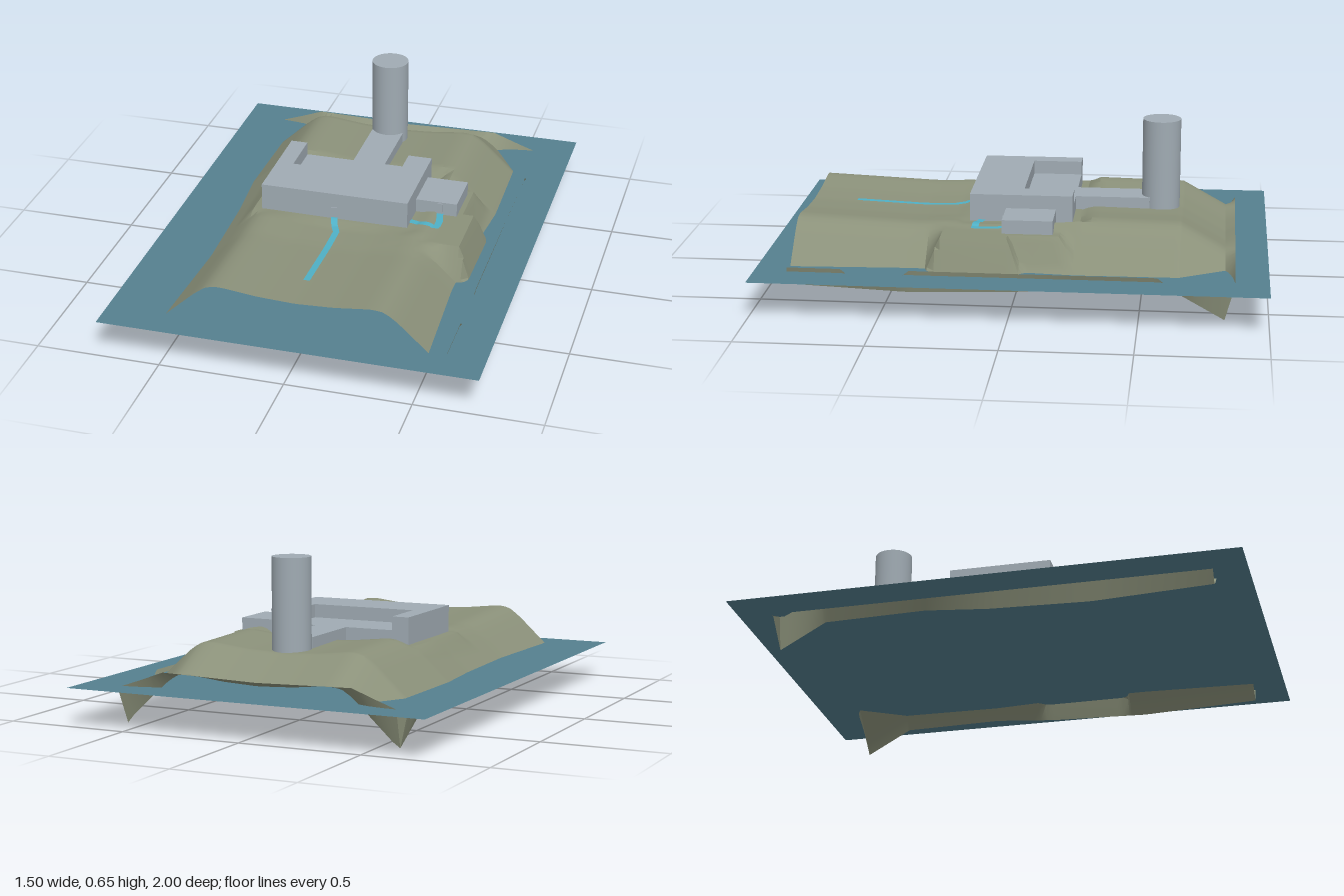
import * as THREE from 'three';
import { toCreasedNormals } from 'three/addons/utils/BufferGeometryUtils.js';

const WATER = 0.15, PAD = 0.283;

// piecewise linear interpolation through [position, value] pairs
function lerpPts(pts, t) {
  if (t <= pts[0][0]) return pts[0][1];
  for (let i = 1; i < pts.length; i++) {
    const [a, va] = pts[i - 1], [b, vb] = pts[i];
    if (t <= b) return va + (vb - va) * (t - a) / (b - a);
  }
  return pts[pts.length - 1][1];
}
const across = [[0, 0.28], [0.15, 0.287], [0.3, 0.304], [0.35, 0.298], [0.4, 0.262], [0.58, 0.095]];
const along = [[-0.83, -0.095], [-0.65, 0.005], [-0.25, 0.012], [0, -0.008], [0.4, -0.02], [0.87, 0]];
const backRim = [[0, 0.205], [0.4, 0.215], [0.5, 0.178], [0.61, 0.14]];

// 1 inside a rectangle, falling to 0 over a margin
function inRect(x, z, x0, x1, z0, z1, m) {
  const d = Math.max(x0 - x, x - x1, z0 - z, z - z1, 0);
  return Math.max(0, 1 - d / m);
}

function landHeight(x, z) {
  if (z < -0.85) return lerpPts(backRim, Math.abs(x));
  if (Math.abs(x) > 0.59) {
    if (z < -0.8) return 0.13;
    const raised = x > 0 && ((z > -0.6 && z < 0.4) || z > 0.66);
    return raised ? 0.168 : 0.145;
  }
  const shift = Math.abs(x) < 0.57 ? 0.008 : 0;
  let y = lerpPts(across, Math.abs(x - shift)) + lerpPts(along, z);
  // levelled ground under the buildings and the raised shelf beside them
  const pad = inRect(x, z, -0.37, 0.3, -0.25, 0.2, 0.04);
  y += (PAD - 0.003 - y) * pad;
  const shelf = Math.max(inRect(x, z, 0.27, 0.505, 0.02, 0.28, 0.06),
    inRect(x, z, 0.27, 0.46, -0.18, 0.02, 0.05));
  if (y < PAD) y += (PAD - 0.003 - y) * shelf;
  return y;
}

function gridGeometry(xs, zs, height) {
  const pos = [], idx = [], n = xs.length;
  for (const z of zs) for (const x of xs) pos.push(x, height(x, z), z);
  for (let j = 0; j < zs.length - 1; j++) {
    for (let i = 0; i < n - 1; i++) {
      const a = j * n + i, b = a + 1, c = a + n, d = c + 1;
      idx.push(a, c, b, b, c, d);
    }
  }
  const g = new THREE.BufferGeometry();
  g.setAttribute('position', new THREE.Float32BufferAttribute(pos, 3));
  g.setIndex(idx);
  return toCreasedNormals(g, 0.5);
}

// evenly spaced values with extra breakpoints, sorted
function ticks(a, b, step, extra) {
  const out = [...extra];
  const n = Math.round((b - a) / step);
  for (let i = 0; i <= n; i++) {
    const v = a + (b - a) * i / n;
    if (!extra.some(e => Math.abs(e - v) < step * 0.3)) out.push(v);
  }
  return out.sort((p, q) => p - q);
}

export function createModel() {
  const model = new THREE.Group();
  const mat = (name, color, side = THREE.FrontSide) => {
    const m = new THREE.MeshStandardMaterial({ color, side });
    m.name = name;
    return m;
  };
  const waterMat = mat('water blue', 0x55808f, THREE.DoubleSide);
  const landMat = mat('land green', 0x8b917a, THREE.DoubleSide);
  const wallMat = mat('concrete grey', 0xa0abb3);
  const pathMat = mat('path cyan', 0x4fb0c6, THREE.DoubleSide);

  const add = (name, geo, material, x = 0, y = 0, z = 0, parent = model) => {
    const mesh = new THREE.Mesh(geo, material);
    mesh.name = name;
    mesh.position.set(x, y, z);
    parent.add(mesh);
    return mesh;
  };
  // box given by its limits
  const block = (name, x0, x1, y0, y1, z0, z1, parent) =>
    add(name, new THREE.BoxGeometry(x1 - x0, y1 - y0, z1 - z0), wallMat,
      (x0 + x1) / 2, (y0 + y1) / 2, (z0 + z1) / 2, parent);

  // water sheet
  add('water', new THREE.PlaneGeometry(1.5, 2).rotateX(-Math.PI / 2), waterMat, 0, WATER, 0);

  // land: plateau with sloping sides and an upturned rim
  const xs = ticks(-0.55, 0.55, 0.025,
    [-0.608, -0.58, -0.35, -0.3, 0.35, 0.3, 0.505, 0.46, 0.58, 0.602]);
  const zs = ticks(-0.81, 0.87, 0.03, [-0.868, -0.83, -0.65, -0.25, 0.02, 0.28, 0.34]);
  add('land', gridGeometry(xs, zs, landHeight), landMat);

  // main building: U-shaped block around a lower court
  const hall = new THREE.Group();
  hall.name = 'mainBuilding';
  model.add(hall);
  const u = new THREE.Shape([[-0.34, -0.19], [0.27, -0.19], [0.27, 0.22], [0.17, 0.22],
    [0.17, 0.02], [-0.27, 0.02], [-0.27, 0.22], [-0.34, 0.22]].map(p => new THREE.Vector2(...p)));
  const uGeo = new THREE.ExtrudeGeometry(u, { depth: 0.13, bevelEnabled: false });
  add('hall', uGeo.rotateX(-Math.PI / 2), wallMat, 0, 0.26, 0, hall);
  block('court', -0.27, 0.17, 0.26, 0.335, -0.22, -0.02, hall);
  block('frontDoor', -0.046, -0.022, 0.27, 0.33, 0.185, 0.194, hall);

  // side annex, rear passage and tower
  block('annex', 0.27, 0.44, 0.25, 0.335, -0.155, 0.045);
  block('annexDoor', 0.358, 0.382, 0.27, 0.33, 0.04, 0.049);
  block('passage', -0.068, 0.068, 0.25, 0.335, -0.52, -0.22);
  add('tower', new THREE.CylinderGeometry(0.077, 0.077, 0.4, 32), wallMat, 0, 0.452, -0.563);

  // footpaths draped on the land
  const footpath = (name, pts, width) => {
    const pos = [], idx = [];
    const dense = [];
    for (let i = 0; i < pts.length - 1; i++) {
      for (let k = 0; k < 8; k++) {
        const t = k / 8;
        dense.push(new THREE.Vector2(...pts[i]).lerp(new THREE.Vector2(...pts[i + 1]), t));
      }
    }
    dense.push(new THREE.Vector2(...pts[pts.length - 1]));
    dense.forEach((p, i) => {
      const a = dense[Math.max(i - 1, 0)], b = dense[Math.min(i + 1, dense.length - 1)];
      const d = b.clone().sub(a).normalize().multiplyScalar(width / 2);
      const y = landHeight(p.x, p.y) + 0.006;
      pos.push(p.x + d.y, y, p.y - d.x, p.x - d.y, y, p.y + d.x);
      if (i) idx.push(2 * i - 2, 2 * i, 2 * i - 1, 2 * i - 1, 2 * i, 2 * i + 1);
    });
    // wind the faces so they look upward
    for (let i = 0; i < idx.length; i += 3) [idx[i + 1], idx[i + 2]] = [idx[i + 2], idx[i + 1]];
    const g = new THREE.BufferGeometry();
    g.setAttribute('position', new THREE.Float32BufferAttribute(pos, 3));
    g.setIndex(idx);
    g.computeVertexNormals();
    if (g.attributes.normal.getY(0) < 0) {
      g.setIndex(idx.reverse());
      g.computeVertexNormals();
    }
    add(name, g, pathMat);
  };
  footpath('frontPath', [[-0.034, 0.19], [-0.02, 0.235], [0, 0.28], [0, 0.69]], 0.026);
  footpath('annexPath', [[0.37, 0.045], [0.385, 0.11], [0.385, 0.16], [0.33, 0.155], [0.268, 0.14]], 0.028);

  return model;
}
